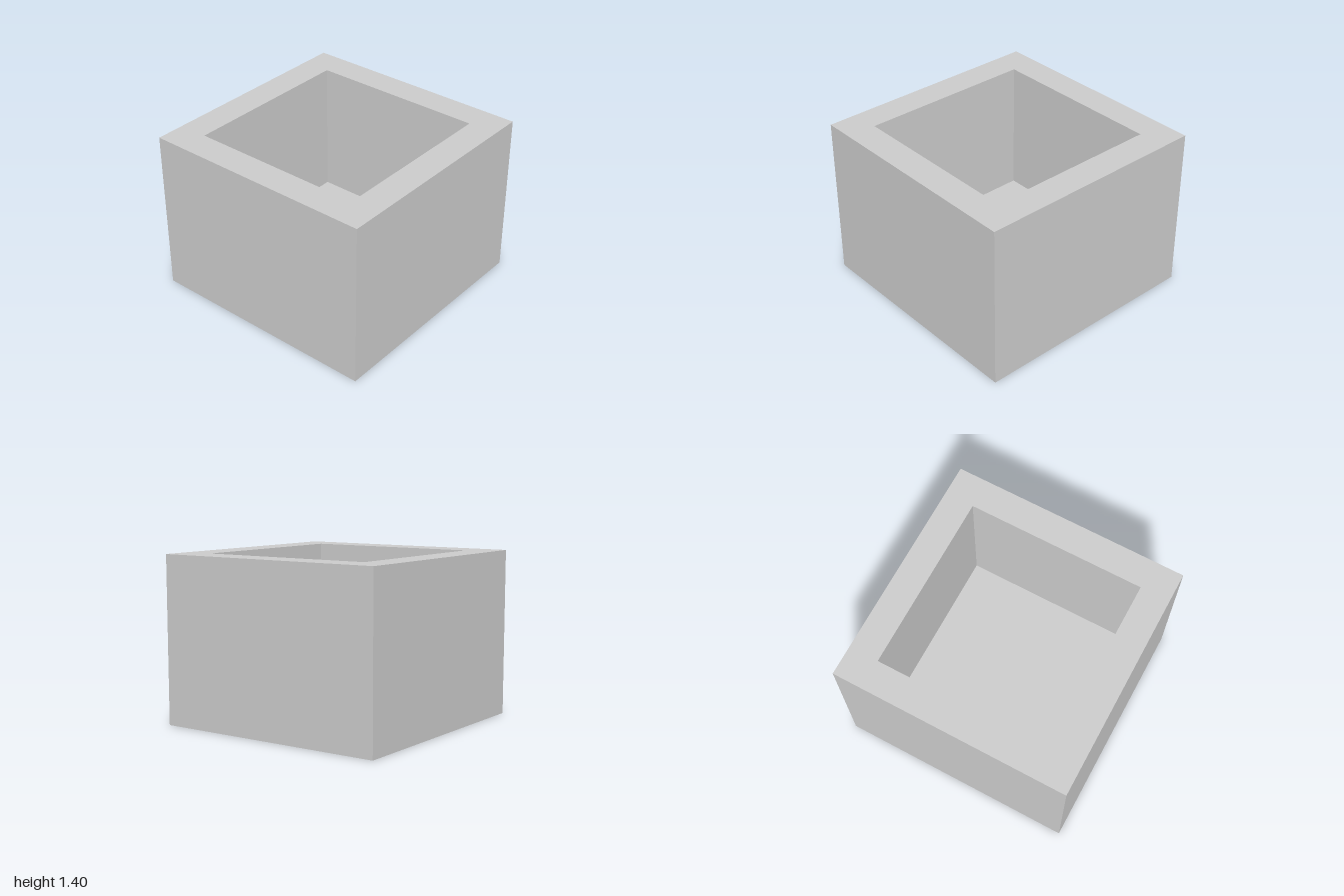
import * as THREE from 'three';

const HALF = 1;        // half of the outer width
const HEIGHT = 1.4;
const INNER = 0.75;    // half of the cavity width
const FLOOR = 0.25;    // floor as thick as the walls

export function createModel() {
  const model = new THREE.Group();
  model.name = 'squarePlanter';

  // Half section from the base centre, over the rim, to the cavity floor centre
  const section = [
    [0, 0], [HALF, 0], [HALF, HEIGHT],
    [INNER, HEIGHT], [INNER, FLOOR], [0, FLOOR],
  ].map(([halfWidth, y]) => new THREE.Vector2(halfWidth * Math.SQRT2, y));

  // Four-sided turn, with the corners on the diagonals
  const geometry = new THREE.LatheGeometry(section, 4, Math.PI / 4).toNonIndexed();
  geometry.computeVertexNormals();

  const box = new THREE.Mesh(
    geometry,
    new THREE.MeshStandardMaterial({ color: 0xcccccc, flatShading: true }),
  );
  box.name = 'openBox';
  model.add(box);

  return model;
}
